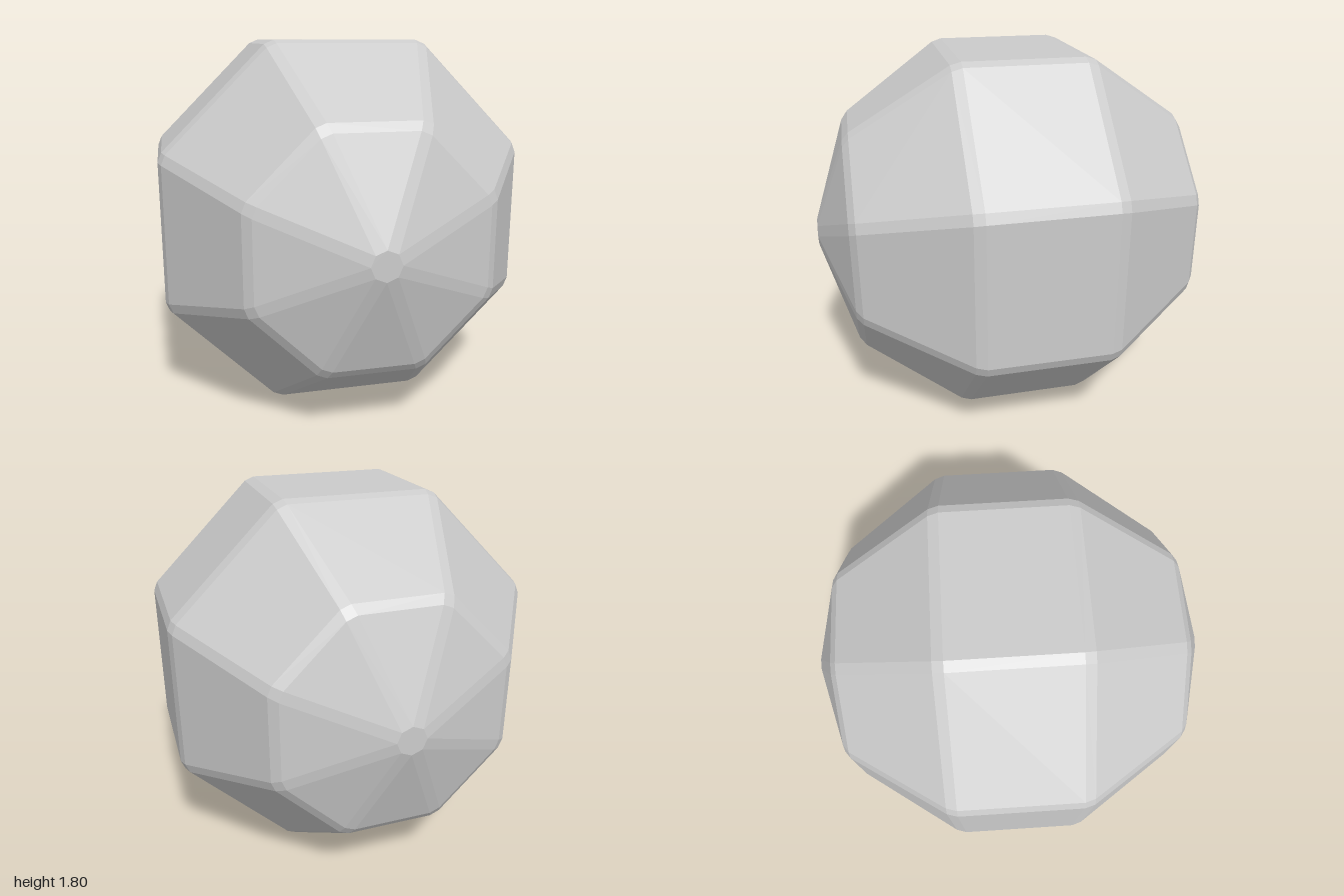
import * as THREE from 'three';
import { ConvexGeometry } from 'three/addons/geometries/ConvexGeometry.js';

const RADIUS = 1.0243; // before the edges are bevelled
const SIDES = 8;
const STACKS = 5;
const BEVEL = 0.027;

// Point on the faceted ball: poles on z, flat sides up, down, left and right
function ballPoint(stack, side) {
  const polar = (stack / STACKS) * Math.PI;
  const around = ((side + 0.5) / SIDES) * Math.PI * 2;
  const r = RADIUS * Math.sin(polar);
  return new THREE.Vector3(r * Math.cos(around), r * Math.sin(around), RADIUS * Math.cos(polar));
}

// Move every corner of a flat face inward by the bevel width
function insetFace(corners) {
  return corners.map((p, i) => {
    const n = corners.length;
    const a = corners[(i + n - 1) % n].clone().sub(p).normalize();
    const b = corners[(i + 1) % n].clone().sub(p).normalize();
    return a.clone().add(b).multiplyScalar(BEVEL / Math.sin(a.angleTo(b))).add(p);
  });
}

export function createModel() {
  const group = new THREE.Group();
  group.name = 'bevelledBall';

  // The hull of the inset faces adds the bevel strips and corner caps
  const points = [];
  for (let k = 0; k < STACKS; k++) {
    for (let s = 0; s < SIDES; s++) {
      const face = [];
      if (k > 0) face.push(ballPoint(k, s + 1));
      face.push(ballPoint(k, s), ballPoint(k + 1, s));
      if (k < STACKS - 1) face.push(ballPoint(k + 1, s + 1));
      points.push(...insetFace(face));
    }
  }

  const material = new THREE.MeshStandardMaterial({ color: 0xcccccc, flatShading: true });
  const ball = new THREE.Mesh(new ConvexGeometry(points), material);
  ball.name = 'facetedBall';
  ball.position.y = 0.9;
  group.add(ball);
  return group;
}
